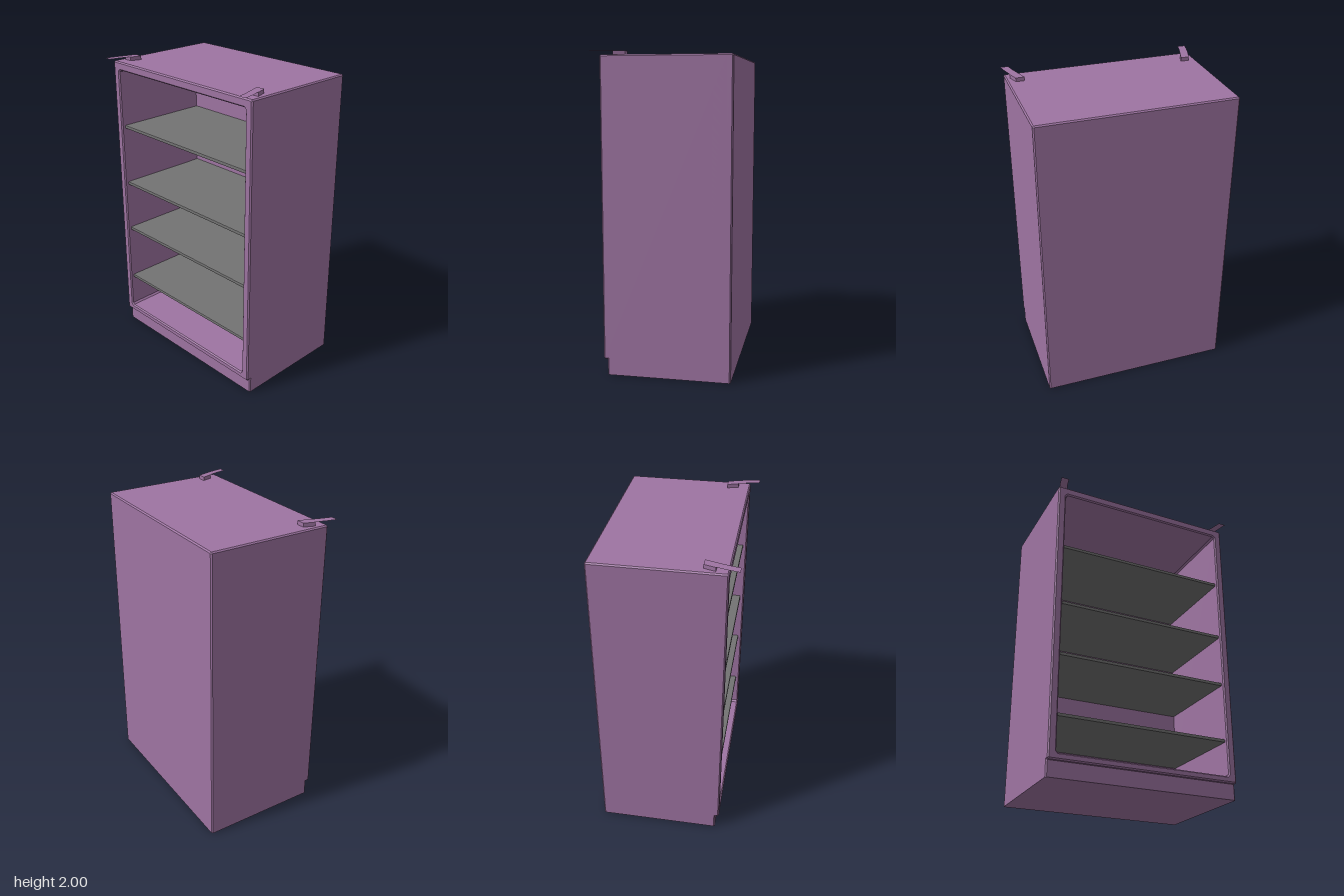
import * as THREE from 'three';
import { RoundedBoxGeometry } from 'three/addons/geometries/RoundedBoxGeometry.js';

const purple = new THREE.MeshStandardMaterial({ color: 0x9e74a2, flatShading: true });
const purpleThin = new THREE.MeshStandardMaterial({ color: 0x9e74a2, side: THREE.DoubleSide });
const grey = new THREE.MeshStandardMaterial({ color: 0x737373, flatShading: true });

const W = 0.625, BACK = -0.43, FRONT = 0.37, TOP = 1.975, PLINTH = 0.1, EDGE = 0.008;
const CAVITY_BACK = -0.3;

// Rectangle with its corners cut off
function chamferedRect(x0, y0, x1, y1, c, Type = THREE.Shape) {
  return new Type([
    [x0 + c, y0], [x1 - c, y0], [x1, y0 + c], [x1, y1 - c],
    [x1 - c, y1], [x0 + c, y1], [x0, y1 - c], [x0, y0 + c],
  ].map(([x, y]) => new THREE.Vector2(x, y)));
}

// Extrusion between z0 and z1 with chamfered ends
function slab(shape, z0, z1) {
  const geometry = new THREE.ExtrudeGeometry(shape, {
    depth: z1 - z0 - 2 * EDGE, bevelThickness: EDGE, bevelSize: EDGE,
    bevelOffset: -EDGE, bevelSegments: 1,
  });
  return geometry.translate(0, 0, z0 + EDGE);
}

// Extrusion of a floor plan (x, z) upwards from y0
function upright(shape, y0, height) {
  const geometry = new THREE.ExtrudeGeometry(shape, { depth: height, bevelEnabled: false });
  return geometry.rotateX(-Math.PI / 2).translate(0, y0, 0);
}

function add(parent, name, geometry, material) {
  const mesh = new THREE.Mesh(geometry, material);
  mesh.name = name;
  parent.add(mesh);
  return mesh;
}

// Floor plan from [x, z] corners on one side, mirrored by side
function plan(corners, side) {
  const points = corners.map(([x, z]) => new THREE.Vector2(side * x, -z));
  return new THREE.Shape(points);
}

export function createModel() {
  const model = new THREE.Group();
  model.name = 'openCabinet';

  // Cabinet shell: open ring in front of a solid back
  const ring = chamferedRect(-W, PLINTH, W, TOP, EDGE);
  ring.holes.push(chamferedRect(-0.573, 0.142, 0.573, 1.92, 0.012, THREE.Path));
  add(model, 'cabinetFrame', slab(ring, -0.4, FRONT), purple);
  add(model, 'backWall', slab(chamferedRect(-W, PLINTH, W, TOP, EDGE), BACK, CAVITY_BACK), purple);

  // Recessed plinth
  const footprint = chamferedRect(-W, -0.345, W, -BACK, EDGE);
  add(model, 'plinth', upright(footprint, 0, PLINTH + 0.02), purple);

  // Shelves
  const shelfFront = 0.345, shelfBack = CAVITY_BACK - 0.01;
  for (const y of [0.38, 0.77, 1.12, 1.53]) {
    const geometry = new RoundedBoxGeometry(1.15, 0.022, shelfFront - shelfBack, 1, 0.005);
    const shelf = add(model, 'shelf', geometry, grey);
    shelf.position.set(0, y, (shelfFront + shelfBack) / 2);
  }

  // Top hinges: a raised block with a thin arm reaching past the front
  for (const side of [-1, 1]) {
    const hinge = new THREE.Group();
    hinge.name = side > 0 ? 'leftHinge' : 'rightHinge';
    const block = plan([[0.52, 0.225], [0.575, 0.225], [0.598, 0.295], [0.543, 0.295]], side);
    add(hinge, 'hingeBlock', upright(block, TOP - 0.005, 0.029), purple);
    const arm = plan([
      [0.52, 0.225], [0.575, 0.225], [0.598, 0.295], [0.617, 0.36], [0.632, 0.43],
      [0.581, 0.43], [0.567, 0.37], [0.543, 0.295],
    ], side);
    const plate = new THREE.ShapeGeometry(arm).rotateX(-Math.PI / 2).translate(0, 2, 0);
    add(hinge, 'hingeArm', plate, purpleThin);
    model.add(hinge);
  }
  return model;
}
